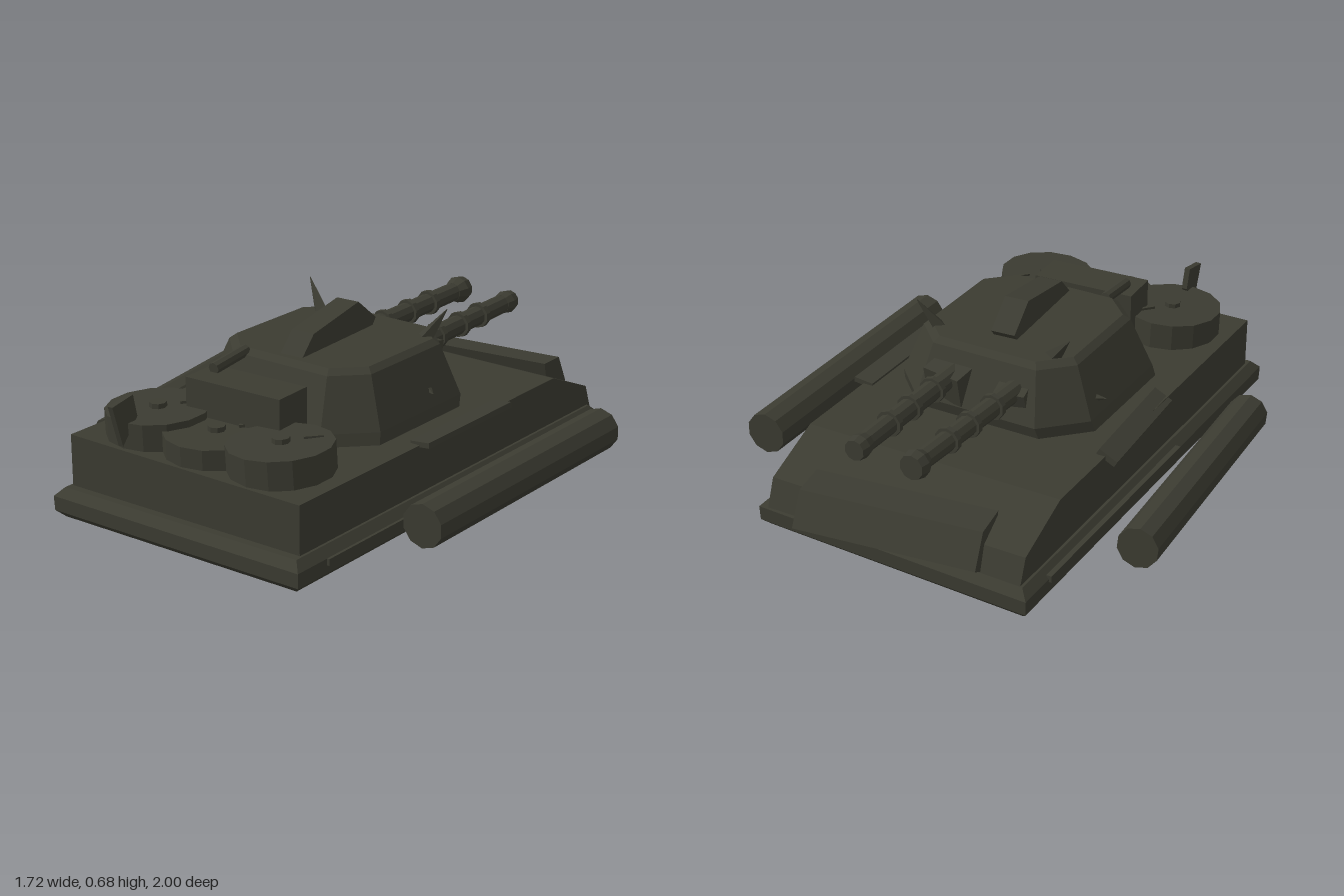
import * as THREE from 'three';

export function createModel() {
  const model = new THREE.Group();
  const olive = new THREE.MeshStandardMaterial({ name: 'darkOlive', color: 0x3b3b31, flatShading: true });

  function add(name, geometry, pos = [0, 0, 0], rot = [0, 0, 0]) {
    const mesh = new THREE.Mesh(geometry, olive);
    mesh.name = name;
    mesh.position.set(...pos);
    mesh.rotation.set(...rot);
    model.add(mesh);
    return mesh;
  }

  const box = (name, size, pos, rot) => add(name, new THREE.BoxGeometry(...size), pos, rot);

  // Cylinder or cone running from a to b
  function rod(name, a, b, ra, rb, sides) {
    const from = new THREE.Vector3(...a);
    const dir = new THREE.Vector3(...b).sub(from);
    const mesh = add(name, new THREE.CylinderGeometry(rb, ra, dir.length(), sides));
    mesh.position.copy(from).addScaledVector(dir, 0.5);
    mesh.quaternion.setFromUnitVectors(new THREE.Vector3(0, 1, 0), dir.normalize());
    return mesh;
  }

  // Solid through stacked rings, each wound counterclockwise seen from above
  function loft(rings) {
    const out = [];
    const n = rings[0].length;
    for (let r = 0; r + 1 < rings.length; r++) {
      for (let i = 0; i < n; i++) {
        const j = (i + 1) % n;
        const a = rings[r][i], b = rings[r][j], c = rings[r + 1][j], d = rings[r + 1][i];
        out.push(...a, ...b, ...c, ...a, ...c, ...d);
      }
    }
    const low = rings[0], high = rings[rings.length - 1];
    for (let i = 1; i + 1 < n; i++) {
      out.push(...high[0], ...high[i], ...high[i + 1]);
      out.push(...low[0], ...low[i + 1], ...low[i]);
    }
    const g = new THREE.BufferGeometry();
    g.setAttribute('position', new THREE.Float32BufferAttribute(out, 3));
    g.computeVertexNormals();
    return g;
  }

  // Side profile of [z, y] points extruded across x, centred on x = 0
  function profileX(points, width) {
    const shape = new THREE.Shape(points.map(p => new THREE.Vector2(...p)));
    const g = new THREE.ExtrudeGeometry(shape, { depth: width, bevelEnabled: false });
    return g.translate(0, 0, -width / 2).rotateY(-Math.PI / 2);
  }

  // Bevelled skirt around the bottom, leaning slightly to one side
  const skirtRing = ([y, inset]) => [
    [-0.54 + inset, y - 0.007, 1 - inset], [0.58 - inset, y + 0.007, 1 - inset],
    [0.58 - inset, y + 0.007, -0.88 + inset], [-0.54 + inset, y - 0.007, -0.91 + inset],
  ];
  add('skirt', loft([[0.343, 0.03], [0.37, 0.002], [0.425, 0], [0.457, 0.03]].map(skirtRing)));
  box('sideRail', [0.02, 0.025, 1.55], [0.58, 0.42, 0.07]);
  box('sideRail', [0.02, 0.025, 1.0], [-0.54, 0.42, -0.25]);

  // Hull with sloping nose
  add('hull', profileX([[0.94, 0.44], [0.94, 0.645], [-0.6, 0.645], [-0.84, 0.545], [-0.88, 0.44]], 1.04), [0.02, 0, 0]);
  box('fenderPlate', [0.08, 0.02, 0.52], [0.54, 0.648, 0.01], [0, 0, 0.1]);
  box('fenderPlate', [0.08, 0.025, 0.5], [-0.49, 0.64, -0.02], [0, 0.06, 0.5]);

  // Loose armour block across the nose
  add('nosePlate', profileX([[0.08, 0.11], [-0.05, 0.1], [-0.12, -0.02], [0.02, -0.1]], 0.7),
    [0.015, 0.5, -0.84], [0, 0.12, 0]);

  // Eight-sided turret
  const octagon = (y, x0, x1, z0, z1, c) => [
    [x0 + c, y, z1], [x1 - c, y, z1], [x1, y, z1 - c], [x1, y, z0 + c],
    [x1 - c, y, z0], [x0 + c, y, z0], [x0, y, z0 + c], [x0, y, z1 - c],
  ];
  add('turret', loft([
    octagon(0.64, -0.385, 0.43, -0.28, 0.505, 0.15),
    octagon(0.69, -0.375, 0.425, -0.295, 0.495, 0.15),
    octagon(0.88, -0.295, 0.357, -0.215, 0.42, 0.11),
    octagon(0.9, -0.27, 0.335, -0.19, 0.395, 0.1),
  ]));
  add('turretFin', profileX([[0.38, 0.89], [0.3, 0.97], [0.015, 1.015], [-0.1, 0.925], [-0.07, 0.89]], 0.095),
    [0.025, 0, 0], [0, 0.06, 0]);

  // Twin guns with collars and flared muzzles
  const guns = [
    { root: [-0.112, 0.79, -0.2], tip: [-0.093, 0.81, -0.905], flare: 0.055 },
    { root: [0.145, 0.79, -0.2], tip: [0.14, 0.805, -0.9], flare: 0.046 },
  ];
  for (const { root, tip, flare } of guns) {
    const at = t => root.map((v, k) => v + (tip[k] - v) * t);
    rod('gunBarrel', root, tip, 0.04, 0.037, 10);
    for (const t of [0.25, 0.47, 0.66]) rod('gunCollar', at(t), at(t + 0.03), 0.05, 0.05, 10);
    rod('gunMuzzle', at(0.9), at(0.95), 0.038, flare, 10);
    rod('gunMuzzle', at(0.95), at(1), flare, flare * 0.85, 10);
  }
  box('gunMount', [0.16, 0.12, 0.14], [0.15, 0.77, -0.23], [-0.2, -0.15, 0]);
  box('gunMount', [0.12, 0.09, 0.1], [-0.11, 0.77, -0.23], [-0.3, 0.1, 0]);

  // Spikes on the turret
  rod('spike', [-0.18, 0.87, -0.1], [-0.29, 1, -0.16], 0.035, 0.002, 4);
  rod('spike', [0.28, 0.87, -0.1], [0.355, 1, -0.15], 0.035, 0.002, 4);
  rod('sideSpike', [0.36, 0.76, 0.0], [0.425, 0.74, 0.03], 0.025, 0.002, 4);
  rod('sideSpike', [-0.31, 0.74, -0.07], [-0.385, 0.74, -0.05], 0.025, 0.002, 4);

  // Stowage box and rod behind the turret
  box('stowageBox', [0.41, 0.215, 0.16], [0.018, 0.75, 0.588], [0, 0.05, 0]);
  rod('stowedRod', [-0.14, 0.89, 0.4], [-0.133, 0.872, 0.585], 0.022, 0.022, 8);

  // Drums on the rear deck
  const drums = [
    [-0.265, 0.69, 0.735, 0.11, 0.02],
    [0.012, 0.68, 0.74, 0.085, 0],
    [0.3, 0.695, 0.74, 0.105, 0.05],
  ];
  for (const [x, y, z, h, tilt] of drums) {
    add('drum', new THREE.CylinderGeometry(0.19, 0.19, h, 14), [x, y, z], [0.02, 0, tilt]);
    add('drumCap', new THREE.CylinderGeometry(0.032, 0.032, 0.02, 8), [x, y + h / 2 + 0.008, z], [0, 0, tilt]);
    box('drumHandle', [0.012, 0.012, 0.07], [x + 0.07, y + h / 2 + 0.006, z - 0.09], [0, -0.7, tilt]);
  }
  add('rearFlap', profileX([[0.99, 0.82], [0.95, 0.665], [0.87, 0.755], [0.885, 0.838]], 0.022),
    [-0.22, 0, 0], [0, 0, 0.04]);

  // Long cylinders lying beside the hull
  rod('sideCylinder', [0.78, 0.512, 0.585], [0.78, 0.512, -0.555], 0.081, 0.081, 10);
  rod('sideCylinder', [-0.688, 0.467, 0.555], [-0.787, 0.526, -0.575], 0.078, 0.078, 10);

  return model;
}
